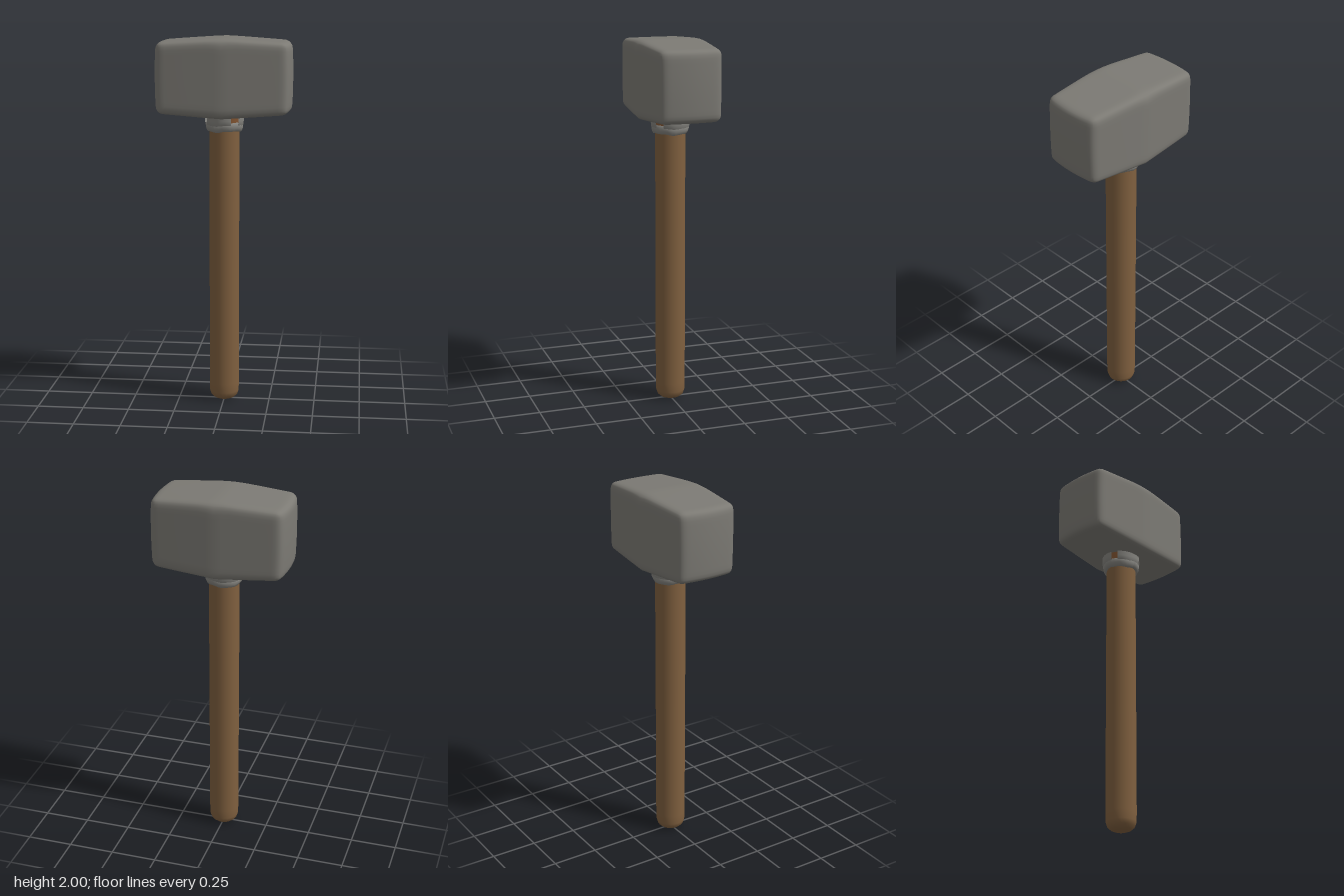
import * as THREE from 'three';
import { mergeVertices } from 'three/addons/utils/BufferGeometryUtils.js';

const mat = (name, color, side = THREE.FrontSide) => {
  const m = new THREE.MeshStandardMaterial({ color, side });
  m.name = name;
  return m;
};

// Rounded block that swells towards its middle, with domed striking faces
function headGeometry() {
  const half = new THREE.Vector3(0.365, 0.21, 0.193), r = 0.04;
  const box = new THREE.BoxGeometry(2, 2, 2, 28, 18, 18);
  box.deleteAttribute('normal');
  box.deleteAttribute('uv');
  const geo = mergeVertices(box, 1e-5);
  const pos = geo.attributes.position;
  const p = new THREE.Vector3(), core = new THREE.Vector3();
  const inner = half.clone().subScalar(r);
  for (let i = 0; i < pos.count; i++) {
    p.fromBufferAttribute(pos, i);
    // crowd the grid lines towards the edges, then round the edges
    for (const a of ['x', 'y', 'z']) p[a] = Math.sin(p[a] * Math.PI / 2) * half[a];
    core.copy(p).clamp(inner.clone().negate(), inner);
    p.sub(core).normalize().multiplyScalar(r).add(core);
    // dome the ends and taper away from the middle
    const t = Math.abs(p.x) / half.x;
    const ny = p.y / half.y, nz = p.z / half.z;
    p.x *= 1 - t * t * (0.05 * nz * nz + 0.015 * ny * ny);
    p.y *= 1 - 0.115 * t;
    p.z *= 1 - 0.14 * t;
    // worn dent in the middle of the long top edges
    if (ny > 0.5) p.y -= 0.012 * Math.exp(-((p.x / 0.04) ** 2)) * nz ** 8;
    pos.setXYZ(i, p.x, p.y + 1.79, p.z);
  }
  geo.computeVertexNormals();
  return geo;
}

// Lathe with a slightly ragged rim
function wrapGeometry(profile, start, length, wobble) {
  const geo = new THREE.LatheGeometry(profile.map(([x, y]) => new THREE.Vector2(x, y)), 28, start, length);
  const pos = geo.attributes.position;
  for (let i = 0; i < pos.count; i++) {
    const a = Math.atan2(pos.getX(i), pos.getZ(i));
    pos.setY(i, pos.getY(i) + wobble * (Math.sin(3 * a) + 0.6 * Math.sin(7 * a + 1)));
  }
  geo.computeVertexNormals();
  return geo;
}

export function createModel() {
  const group = new THREE.Group();
  const stone = mat('head grey', 0x7c7a74);
  const wood = mat('handle brown', 0x80603f);
  const wrap = mat('wrap grey', 0x85847f, THREE.DoubleSide);
  const bare = mat('bare wood', 0x8a5a35);
  const add = (name, geo, material) => {
    const mesh = new THREE.Mesh(geo, material);
    mesh.name = name;
    group.add(mesh);
  };

  add('head', headGeometry(), stone);

  // Shaft with a rounded butt
  const shaft = [[0, 0], [0.035, 0.002], [0.055, 0.01], [0.072, 0.025], [0.08, 0.05], [0.081, 0.1], [0.081, 1.62]];
  add('handle', new THREE.LatheGeometry(shaft.map(([x, y]) => new THREE.Vector2(x, y)), 24), wood);

  // Flared wood beneath the wrapping
  const sleeve = new THREE.CylinderGeometry(0.1, 0.085, 0.1, 24, 1, true);
  sleeve.translate(0, 1.56, 0);
  add('sleeve', sleeve, bare);

  // Lower band, and an upper band with two gaps at the front
  add('lowerWrap', wrapGeometry([[0.08, 1.502], [0.092, 1.504], [0.099, 1.52], [0.101, 1.54], [0.09, 1.55]],
    0, Math.PI * 2, 0.003), wrap);
  const upper = [[0.092, 1.528], [0.102, 1.538], [0.104, 1.56], [0.106, 1.61]];
  for (const [from, to] of [[-1.0, 0.45], [0.9, Math.PI * 2 - 1.35]]) {
    add('upperWrap', wrapGeometry(upper, from, to - from, 0.002), wrap);
  }
  return group;
}
